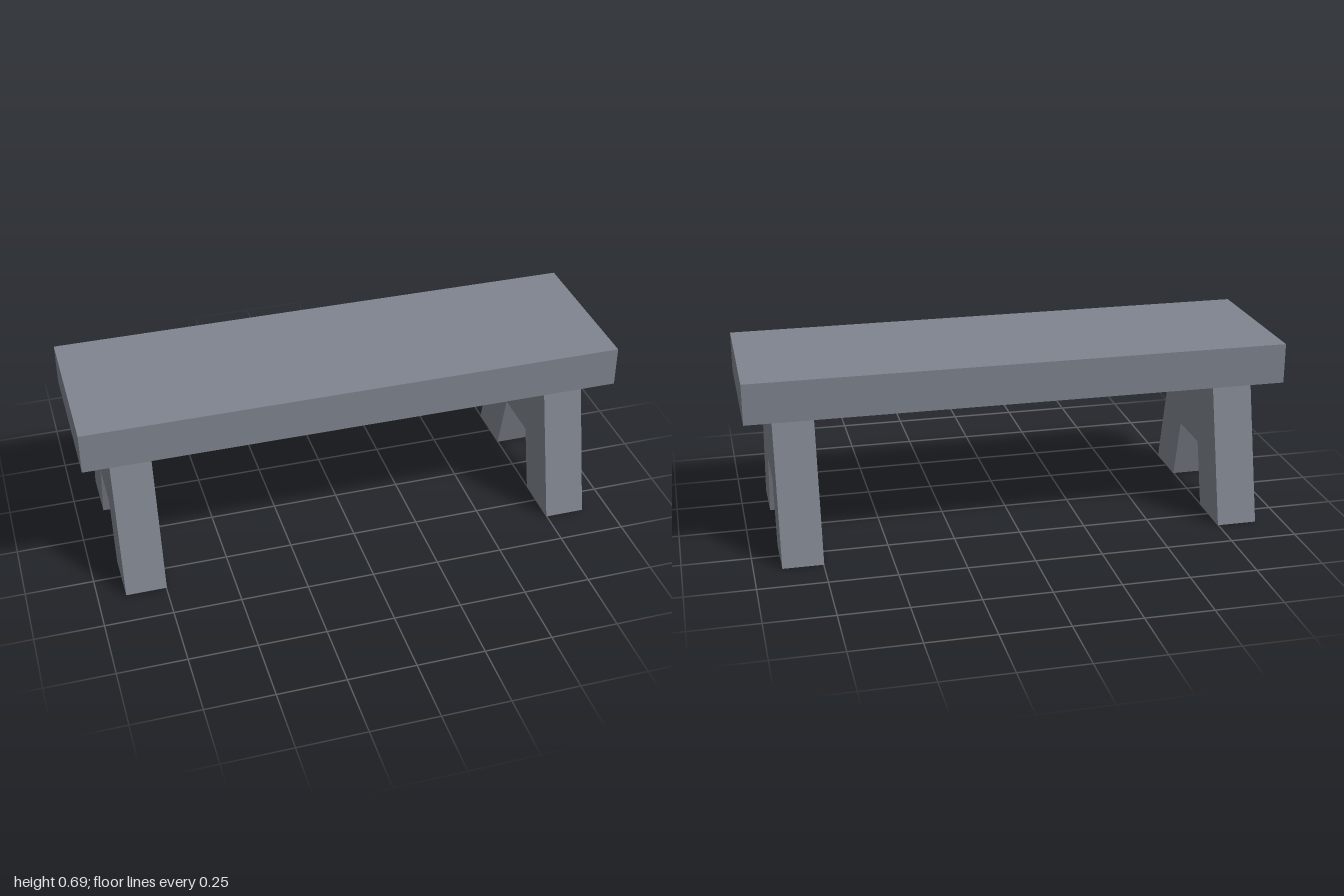
import * as THREE from 'three';

const SEAT_BOTTOM = 0.535, SEAT_TOP = 0.686;
const LEG_THICKNESS = 0.15, LEG_X = 0.823;

export function createModel() {
  const bench = new THREE.Group();
  bench.name = 'bench';
  const material = new THREE.MeshStandardMaterial({ color: 0x80858f, flatShading: true });

  // Thick plank seat
  const seat = new THREE.Mesh(
    new THREE.BoxGeometry(2, SEAT_TOP - SEAT_BOTTOM, 0.604), material);
  seat.name = 'seat';
  seat.position.y = (SEAT_TOP + SEAT_BOTTOM) / 2;
  bench.add(seat);

  // Splayed leg board with a tapered notch: half outline, mirrored
  const half = [[0.1, 0.242], [0.161, 0], [0.36, 0], [0.228, SEAT_BOTTOM]];
  const outline = [...half, ...half.map(([x, y]) => [-x, y]).reverse()];
  const shape = new THREE.Shape(outline.map(([x, y]) => new THREE.Vector2(x, y)));
  const legGeometry = new THREE.ExtrudeGeometry(shape, { depth: LEG_THICKNESS, bevelEnabled: false });
  legGeometry.translate(0, 0, -LEG_THICKNESS / 2).rotateY(Math.PI / 2);

  for (const [name, side] of [['leftLeg', 1], ['rightLeg', -1]]) {
    const leg = new THREE.Mesh(legGeometry, material);
    leg.name = name;
    leg.position.x = side * LEG_X;
    bench.add(leg);
  }
  return bench;
}
